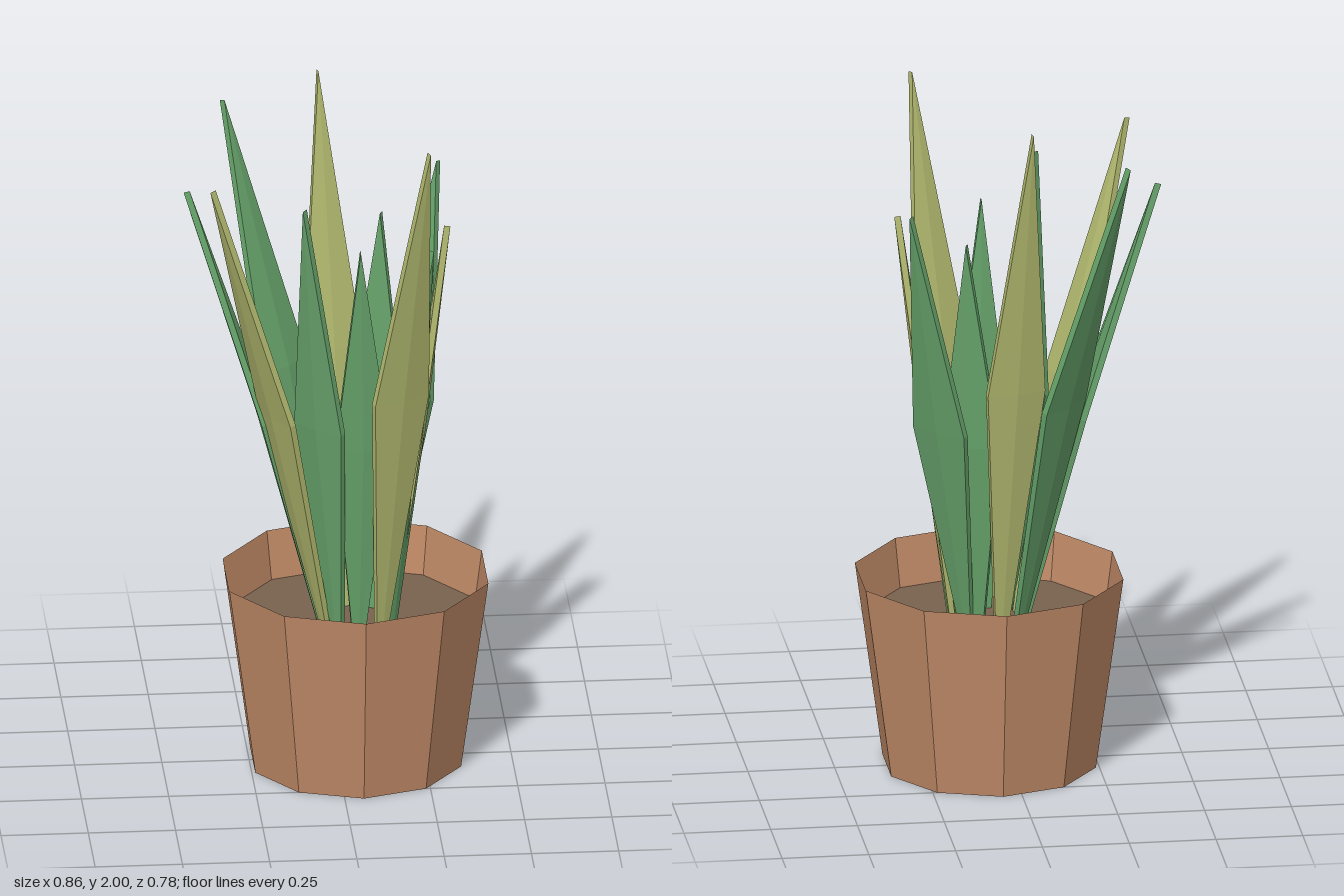
import * as THREE from 'three';

const POT_X = 0.055, POT_H = 0.575, SOIL_Y = 0.43;

const material = (name, color) => {
  const m = new THREE.MeshStandardMaterial({ color, flatShading: true });
  m.name = name;
  return m;
};

// Bevelled diamond blade: three six-point cross-sections (base, widest, tip).
// All plan positions are [x, z]; sideA and sideB are the widest corners.
function leafGeometry(base, sideA, sideB, tip, tipY) {
  const bottomY = 0.4;
  const midY = SOIL_Y + 0.48 * (tipY - SOIL_Y);
  const a = new THREE.Vector3(sideA[0], midY, sideA[1]);
  const b = new THREE.Vector3(sideB[0], midY, sideB[1]);
  const root = new THREE.Vector3(base[0], bottomY, base[1]);
  const end = new THREE.Vector3(tip[0], tipY, tip[1]);
  const centre = a.clone().add(b).multiplyScalar(0.5);
  const axis = end.clone().sub(root).normalize();
  const side = a.clone().sub(b).normalize();
  const normal = axis.clone().cross(side).normalize();
  const half = a.distanceTo(b) / 2;

  const ring = (c, w, t, ridge) =>
    [[w, -t], [w, t], [0, ridge], [-w, t], [-w, -t], [0, -ridge]].map(([u, n]) =>
      c.clone().addScaledVector(side, u).addScaledVector(normal, n));
  const rings = [
    ring(root, 0.016, 0.008, 0.01),
    ring(centre, half, 0.009, 0.02),
    ring(end, 0, 0.009, 0.009),
  ];

  const points = [];
  for (let i = 0; i < 2; i++) {
    for (let j = 0; j < 6; j++) {
      const k = (j + 1) % 6;
      const [p, q, r, s] = [rings[i][j], rings[i][k], rings[i + 1][k], rings[i + 1][j]];
      points.push(p, q, r, p, r, s);
    }
  }
  const g = new THREE.BufferGeometry().setFromPoints(points);
  g.computeVertexNormals();
  return g;
}

export function createModel() {
  const model = new THREE.Group();
  model.name = 'pottedPlant';
  const clay = material('clay', 0xc08a67);
  clay.side = THREE.DoubleSide;
  const soilBrown = material('soil', 0x78624e);
  const green = material('leafGreen', 0x66a26a);
  const yellow = material('leafYellowGreen', 0xb2b96f);

  // Ten-sided tapered pot, open at the top
  const profile = [[0, 0], [0.31, 0], [0.39, POT_H]].map(p => new THREE.Vector2(...p));
  const pot = new THREE.Mesh(new THREE.LatheGeometry(profile, 10), clay);
  pot.name = 'pot';
  pot.position.x = POT_X;
  model.add(pot);

  // Soil sunk below the rim
  const soil = new THREE.Mesh(new THREE.CylinderGeometry(0.369, 0.365, 0.03, 10), soilBrown);
  soil.name = 'soil';
  soil.position.set(POT_X, SOIL_Y - 0.015, 0);
  model.add(soil);

  // Leaves: material, base, widest corners, tip, tip height
  const leaves = [
    [green, [-0.015, -0.07], [-0.2, -0.13], [-0.07, -0.26], [-0.3, -0.35], 1.9],
    [green, [-0.04, -0.01], [-0.2, -0.12], [-0.21, 0.065], [-0.425, -0.05], 1.745],
    [yellow, [-0.03, 0.045], [-0.22, 0.04], [-0.14, 0.2], [-0.37, 0.213], 1.855],
    [yellow, [0.035, -0.095], [-0.08, -0.18], [0.09, -0.22], [-0.03, -0.31], 2.0],
    [green, [0.125, -0.07], [0.15, -0.21], [0.28, -0.085], [0.31, -0.235], 1.74],
    [green, [0.1, -0.08], [0.045, -0.16], [0.2, -0.085], [0.14, -0.153], 1.62],
    [yellow, [0.155, 0.01], [0.24, -0.065], [0.23, 0.08], [0.315, 0.033], 1.65],
    [green, [0.15, 0.05], [0.24, 0.03], [0.16, 0.125], [0.265, 0.095], 1.6],
    [green, [0, 0.08], [-0.12, 0.065], [0.005, 0.185], [-0.105, 0.185], 1.775],
    [green, [0.055, 0.1], [-0.015, 0.14], [0.145, 0.13], [0.055, 0.18], 1.64],
    [yellow, [0.12, 0.08], [0.09, 0.22], [0.25, 0.135], [0.242, 0.305], 1.99],
  ];
  leaves.forEach(([mat, ...shape], i) => {
    const leaf = new THREE.Mesh(leafGeometry(...shape), mat);
    leaf.name = `leaf${i + 1}`;
    model.add(leaf);
  });
  return model;
}
